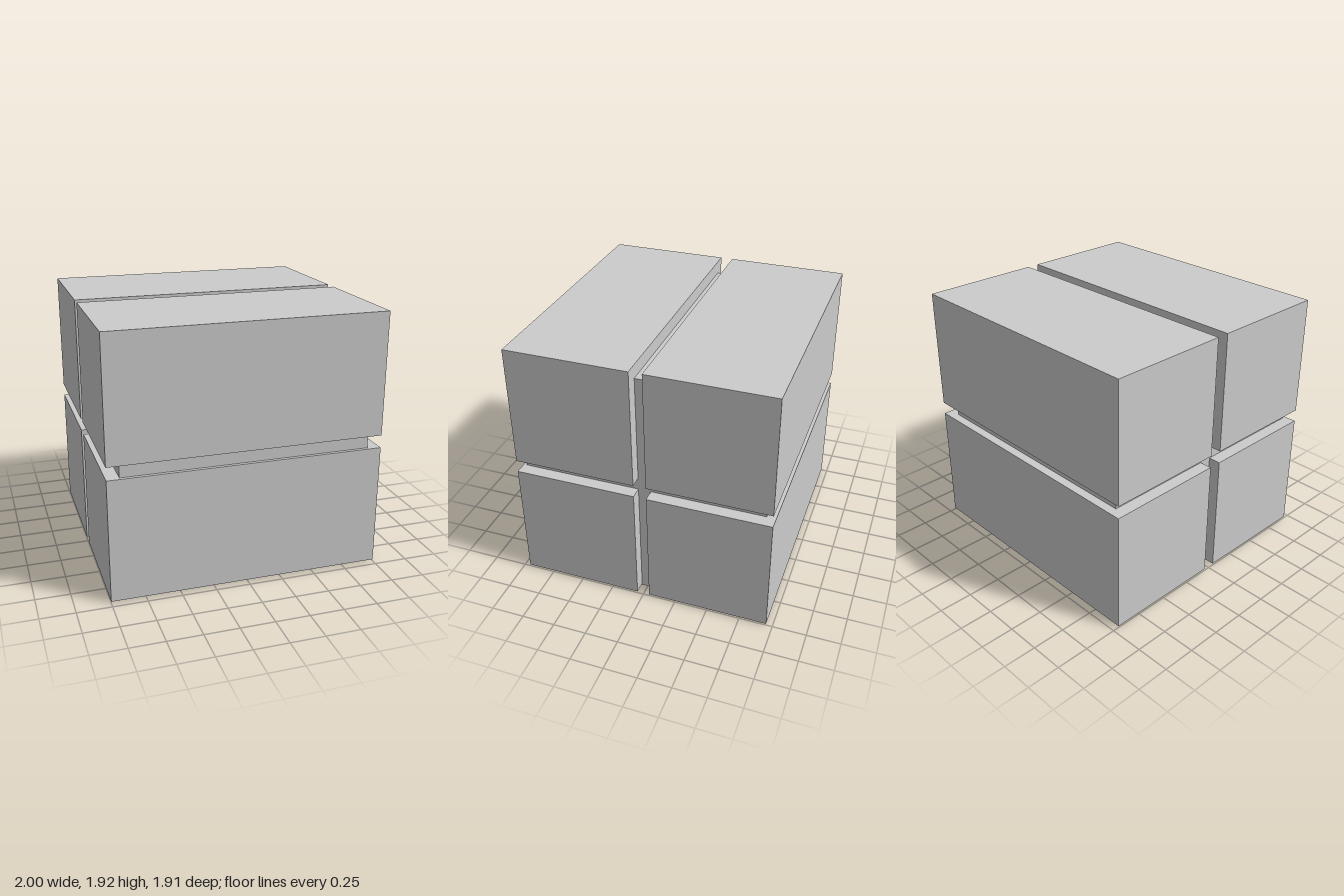
import * as THREE from 'three';

export function createModel() {
  const group = new THREE.Group();
  const material = new THREE.MeshStandardMaterial({ color: 0xcccccc, flatShading: true });

  function addBox(name, size, position) {
    const mesh = new THREE.Mesh(new THREE.BoxGeometry(...size), material);
    mesh.name = name;
    mesh.position.set(...position);
    group.add(mesh);
  }

  // Inner core, set slightly forward and showing through the gaps
  addBox('core', [1.814, 1.822, 1.816], [0, 0.911, 0.02]);

  // Four long blocks around the core: two tiers, front and back
  const blockSize = [2, 0.907, 0.907];
  for (const [tier, y] of [['lower', 0.466], ['upper', 1.467]]) {
    for (const [side, z] of [['Front', 0.5], ['Back', -0.5]]) {
      addBox(`${tier}${side}Block`, blockSize, [0, y, z]);
    }
  }

  return group;
}
